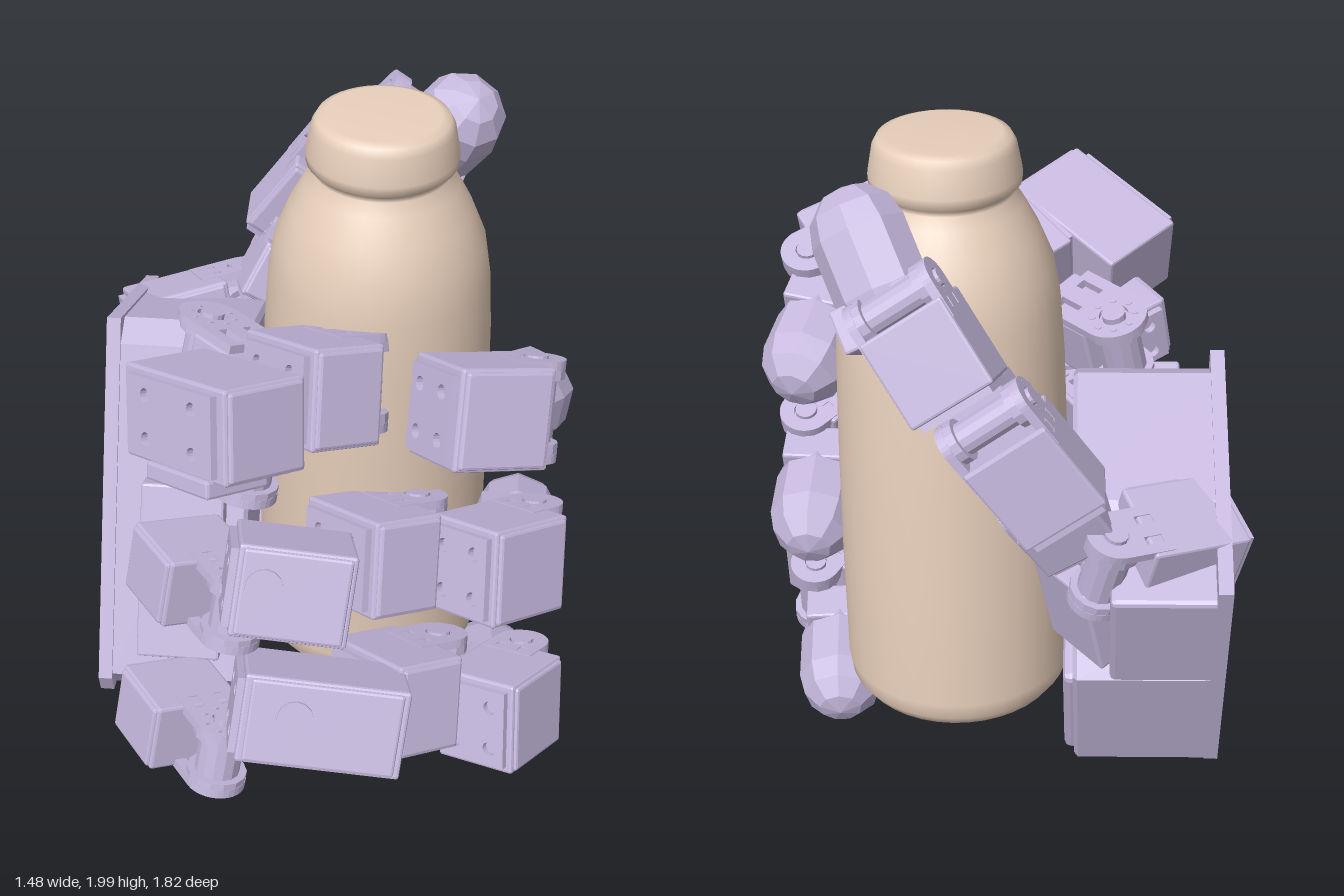
import * as THREE from 'three';
import { RoundedBoxGeometry } from 'three/addons/geometries/RoundedBoxGeometry.js';

const V = (a) => new THREE.Vector3(...a);
const UP = [0.25, 0.92, -0.24]; // lean of the whole hand
const shell = new THREE.MeshStandardMaterial({ color: 0xc6b9de, flatShading: true });
const peach = new THREE.MeshStandardMaterial({ color: 0xe8cfbb });

// Group at p with local x along dir and local y close to up
function place(parent, name, p, dir, up = UP) {
  const g = new THREE.Group();
  g.name = name;
  const x = V(dir).normalize();
  const z = x.clone().cross(V(up)).normalize();
  const y = z.clone().cross(x);
  g.quaternion.setFromRotationMatrix(new THREE.Matrix4().makeBasis(x, y, z));
  g.position.set(...p);
  parent.add(g);
  return g;
}

function add(parent, name, geo, p = [0, 0, 0], r = [0, 0, 0], mat = shell) {
  const m = new THREE.Mesh(geo, mat);
  m.name = name;
  m.position.set(...p);
  m.rotation.set(...r);
  parent.add(m);
  return m;
}

const block = (w, h, d, r = 0.008) => new RoundedBoxGeometry(w, h, d, 1, r);
const disc = (r, h, n = 14) => new THREE.CylinderGeometry(r, r, h, n);

function polygon(pts) {
  return new THREE.Shape(pts.map(([x, y]) => new THREE.Vector2(x, y)));
}

function hole(shape, x, y, r) {
  const h = new THREE.Path();
  h.absarc(x, y, r, 0, Math.PI * 2, true);
  shape.holes.push(h);
}

function slab(shape, depth, bevel = 0) {
  return new THREE.ExtrudeGeometry(shape, {
    depth, curveSegments: 8, bevelEnabled: bevel > 0, bevelSize: bevel, bevelThickness: bevel, bevelSegments: 1,
  });
}

// Thin cover with four screw holes
function cover(w, h) {
  const a = w / 2, b = h / 2;
  const s = polygon([[-a, -b], [a, -b], [a, b], [-a, b]]);
  for (const i of [-1, 1]) for (const j of [-1, 1]) hole(s, i * a * 0.55, j * b * 0.55, 0.02);
  return slab(s, 0.02);
}

// Round-ended bracket arm reaching along +x from the origin, with two slots
function arm(len, r) {
  const s = new THREE.Shape();
  s.moveTo(0, -r);
  s.lineTo(len, -r);
  s.absarc(len, 0, r, -Math.PI / 2, Math.PI / 2, false);
  s.lineTo(0, r);
  s.closePath();
  hole(s, len, 0, r * 0.45);
  for (const k of [-1, 1]) {
    const y = k * r * 0.45, e = r * 0.16;
    const slot = new THREE.Path();
    slot.moveTo(0.02, y - e);
    slot.lineTo(0.02, y + e);
    slot.lineTo(len * 0.5, y + e);
    slot.lineTo(len * 0.5, y - e);
    slot.closePath();
    s.holes.push(slot);
  }
  return slab(s, 0.025);
}

// Hinge: stacked discs with a ring of small screws at both ends
function hinge(parent, p, r, h) {
  const g = new THREE.Group();
  g.name = 'hinge';
  g.position.set(...p);
  parent.add(g);
  add(g, 'hingeDrum', disc(r * 0.75, h * 0.9));
  for (const s of [-1, 1]) {
    add(g, 'hingeDisc', disc(r, 0.035), [0, s * h * 0.45, 0]);
    add(g, 'hingeCap', disc(r * 0.4, 0.03), [0, s * (h * 0.45 + 0.025), 0]);
    for (let i = 0; i < 8; i++) {
      const a = (i / 8) * Math.PI * 2;
      add(g, 'hingeScrew', disc(r * 0.13, 0.02, 6), [Math.cos(a) * r * 0.72, s * (h * 0.45 + 0.022), Math.sin(a) * r * 0.72]);
    }
  }
}

// Plain motor case with a lid and a screwed back cover
function motorCase(parent, name, p, dir, [w, h, d], up = UP) {
  const g = place(parent, name, p, dir, up);
  add(g, 'casing', block(w, h, d));
  add(g, 'frontLid', block(w * 0.92, h * 0.94, 0.02), [0, 0, d / 2]);
  add(g, 'backCover', cover(d * 0.85, h * 0.85), [-w / 2, 0, 0], [0, -Math.PI / 2, 0]);
  return g;
}

// Motor case with bracket arms above and below and a hinge ahead
function motor(parent, name, p, dir, [w, h, d], up = UP, reach = 0.09) {
  const g = motorCase(parent, name, p, dir, [w, h, d], up);
  const r = Math.min(0.085, d * 0.33);
  for (const s of [-1, 1]) {
    add(g, 'bracketArm', arm(reach + 0.06, r), [w / 2 - 0.06, s * (h / 2 - 0.01) + 0.0125, -d * 0.12], [Math.PI / 2, 0, 0]);
  }
  hinge(g, [w / 2 + reach, 0, -d * 0.12], r, h * 0.85);
}

// Soft fingertip from a to b on a clamped mount
function fingertip(parent, a, b, r, up = UP) {
  const d = V(b).sub(V(a));
  const g = place(parent, 'fingertip', a, d.toArray(), up);
  add(g, 'pad', new THREE.CapsuleGeometry(r, d.length(), 3, 9), [d.length() / 2, 0, 0], [0, 0, -Math.PI / 2]);
  add(g, 'tipMount', block(0.12, r * 1.9, r * 1.6), [-0.06, 0, 0]);
}

export function createModel() {
  const root = new THREE.Group();
  root.name = 'handHoldingBottle';

  // Bottle, leaning slightly
  const bottle = new THREE.Group();
  bottle.name = 'bottle';
  bottle.position.set(0.262, 0.245, 0.11);
  bottle.quaternion.setFromUnitVectors(V([0, 1, 0]), V([-0.064, 1.74, 0.08]).normalize());
  root.add(bottle);
  const profile = [[0, 0.02], [0.2, 0.015], [0.26, 0], [0.3, 0.015], [0.325, 0.05], [0.332, 0.1], [0.332, 0.45], [0.327, 0.8],
    [0.319, 1.1], [0.308, 1.27], [0.29, 1.38], [0.253, 1.47], [0.21, 1.55], [0.186, 1.585], [0.188, 1.6], [0.206, 1.615],
    [0.207, 1.64], [0.193, 1.715], [0.18, 1.738], [0.155, 1.747], [0, 1.747]];
  add(bottle, 'bottleBody', new THREE.LatheGeometry(profile.map(([x, y]) => new THREE.Vector2(x, y)), 40), [0, 0, 0], [0, 0, 0], peach);

  // Palm: back plate, deep body, side shell and base peg; local z points at the bottle
  const palm = place(root, 'palm', [-0.08, 0.13, -0.65], [0.65, -0.35, -0.675]);
  const back = polygon([[-0.05, 0], [0, 0.05], [0, 0.98], [-0.8, 0.98], [-0.8, -0.1], [-0.75, -0.15]]);
  hole(back, -0.05, 0.9, 0.012);
  hole(back, -0.4, -0.03, 0.012);
  add(palm, 'backPlate', slab(back, 0.04));
  const body = polygon([[-0.08, 0.02], [-0.02, 0.05], [-0.02, 0.5], [-0.2, 0.62], [-0.2, 0.92], [-0.3, 0.96], [-0.72, 0.96], [-0.78, 0.9],
    [-0.78, -0.08], [-0.72, -0.12]]);
  add(palm, 'palmBody', slab(body, 0.37, 0.012), [0, 0, 0.04]);
  add(palm, 'sideShell', block(0.24, 0.86, 0.3, 0.015), [-0.13, 0.48, 0.17]);
  add(palm, 'heelPad', block(0.32, 0.42, 0.1, 0.02), [-0.19, 0.26, 0.4]);
  add(palm, 'basePeg', disc(0.035, 0.12, 8), [-0.2, -0.05, 0.34]);
  for (const y of [0.1, 0.42, 0.74]) add(palm, 'knuckleMount', block(0.1, 0.2, 0.24), [-0.82, y, 0.24]);

  // Three fingers wrapping round the front; yaw turns each front motor
  const fingers = [
    { name: 'upperFinger', yaw: 0.3, base: [-0.36, 1.2, 0.12], outer: [-0.48, 1.385, 0.32], size: [0.26, 0.25, 0.42], turn: 0.02,
      inner: [-0.2, 1.39, 0.38], front: [0.08, 1.375, 0.73], tip: [[0.33, 1.25, 0.62], [0.43, 1.21, 0.56]] },
    { name: 'middleFinger', yaw: 0, base: [-0.47, 0.8, 0.18], outer: [-0.43, 0.965, 0.57], size: [0.31, 0.25, 0.25], turn: 0.82,
      inner: [-0.1, 0.88, 0.52], front: [0.16, 0.86, 0.75], tip: [[0.4, 0.75, 0.58], [0.495, 0.715, 0.49]] },
    { name: 'lowerFinger', yaw: -0.25, base: [-0.56, 0.36, 0.22], outer: [-0.375, 0.53, 0.63], size: [0.45, 0.25, 0.24], turn: 0.82,
      inner: [-0.07, 0.42, 0.6], front: [0.21, 0.315, 0.75], tip: [[0.39, 0.17, 0.53], [0.485, 0.13, 0.42]] },
  ];
  fingers.forEach((f, i) => {
    const g = new THREE.Group();
    g.name = f.name;
    root.add(g);
    // knuckle leaving the palm, outer and inner motors, then the front segment
    motor(g, 'knuckle', f.base, [-0.2, 0.05, 1], [0.24, 0.2, 0.26]);
    const outer = motorCase(g, 'outerMotor', f.outer, [1, -0.2, f.turn], f.size);
    motor(g, 'innerMotor', f.inner, [1, -0.24, 0.12], [0.22, 0.27, 0.32], UP, 0.07);
    motor(g, 'frontMotor', f.front, [1, -0.24, f.yaw], [0.28, 0.27, 0.24], UP, 0.03);
    if (i) {
      add(outer, 'knob', disc(0.05, 0.04), [-0.08, 0.02, f.size[2] / 2], [Math.PI / 2, 0, 0]);
    } else {
      // rounded bracket over the top of the palm, frame under the outer motor
      const s = place(g, 'topBracket', [-0.21, 1.28, 0.12], [0, 0, -1]);
      add(s, 'bracketBody', block(0.22, 0.18, 0.18), [0.05, 0, 0]);
      add(s, 'bracketArm', arm(0.2, 0.095), [0, 0.12, 0], [Math.PI / 2, 0, 0]);
      hinge(s, [0.2, 0, 0], 0.085, 0.2);
      add(outer, 'frameBar', block(0.2, 0.05, 0.26), [-0.05, -0.14, 0.03]);
    }
    fingertip(g, f.tip[0], f.tip[1], 0.13);
  });

  // Thumb rising from the side of the palm and closing over the bottle
  const thumb = new THREE.Group();
  thumb.name = 'thumb';
  root.add(thumb);
  const side = [-0.65, 0.6, -0.55];
  motor(thumb, 'thumbBase', [0.1, 1.02, -0.61], [1, 0.1, 0.35], [0.28, 0.26, 0.24], [0, 1, -0.3], 0.08);
  const low = place(thumb, 'thumbRoot', [0.22, 0.84, -0.45], [0.25, 1, 0]);
  add(low, 'casing', block(0.3, 0.22, 0.24));
  hinge(low, [0.2, 0, 0], 0.09, 0.2);
  motor(thumb, 'lowerSegment', [0.37, 1.17, -0.45], [0.5, 0.8, 0.1], [0.18, 0.22, 0.2], side, 0.04);
  motor(thumb, 'middleSegment', [0.49, 1.375, -0.48], [0.39, 0.81, 0.45], [0.27, 0.25, 0.18], side, 0.06);
  motor(thumb, 'upperSegment', [0.585, 1.635, -0.21], [0.12, 0.75, 0.65], [0.25, 0.25, 0.18], side, 0.04);
  // offset knuckle on the inner side of the thumb
  const inner = place(thumb, 'thumbKnuckle', [0.46, 1.43, -0.27], [0.2, 0.75, 0.6], side);
  add(inner, 'casing', block(0.16, 0.2, 0.16));
  hinge(inner, [-0.04, 0, 0.02], 0.085, 0.2);
  fingertip(thumb, [0.57, 1.725, 0.0], [0.55, 1.845, 0.115], 0.13, side);

  return root;
}
